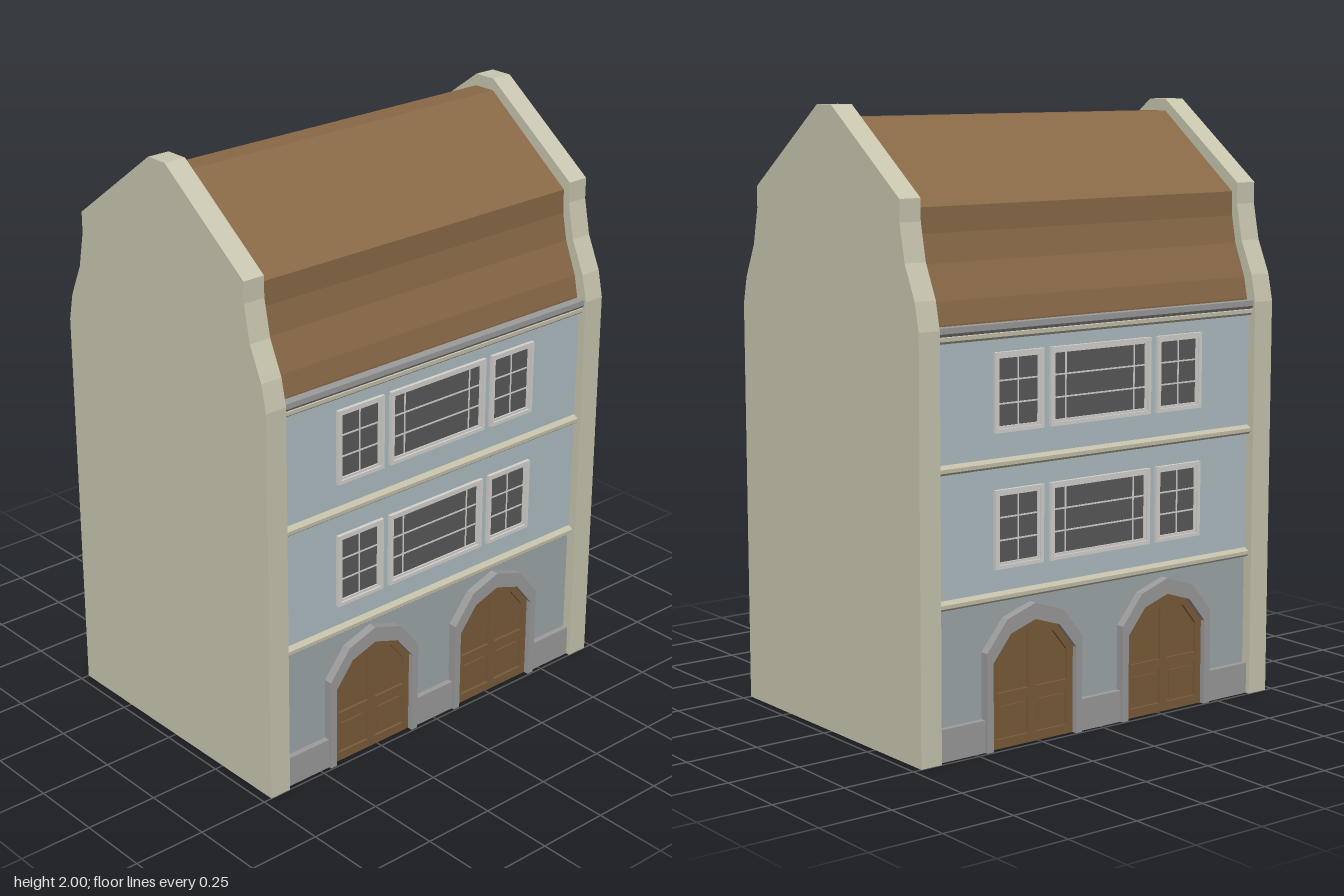
import * as THREE from 'three';

const material = (color) => new THREE.MeshStandardMaterial({ color, flatShading: true });
const MAT = {
  gable: material(0xc9c7b0), upperWall: material(0xb0bfc4), lowerWall: material(0x9ea8ab),
  roof: material(0x896947), door: material(0x7a5c3a), stone: material(0x9c9c9c),
  belt: material(0xc4c0aa), frame: material(0xd6d4d0), glass: material(0x5a5a5a), floor: material(0x777777),
};

const WALL_Z = 0.465, INNER_X = 0.645;

function add(parent, name, geometry, mat) {
  const mesh = new THREE.Mesh(geometry, mat);
  mesh.name = name;
  parent.add(mesh);
  return mesh;
}

function box(parent, name, mat, w, h, d, x, y, z) {
  add(parent, name, new THREE.BoxGeometry(w, h, d), mat).position.set(x, y, z);
}

const toShape = (points) => new THREE.Shape(points.map(([x, y]) => new THREE.Vector2(x, y)));

// Extrudes a side profile of [z, y] points along x, centred on cx
function alongX(points, length, cx = 0) {
  const g = new THREE.ExtrudeGeometry(toShape(points), { depth: length, bevelEnabled: false });
  return g.translate(0, 0, -length / 2).rotateY(-Math.PI / 2).translate(cx, 0, 0);
}

// Extrudes an outline of [x, y] points towards +z, with optional holes
function alongZ(points, depth, holes = []) {
  const shape = toShape(points);
  for (const h of holes) shape.holes.push(toShape(h));
  return new THREE.ExtrudeGeometry(shape, { depth, bevelEnabled: false });
}

// Mirrors half of an outline over the first coordinate
const mirrored = (half) => [...half, ...half.map(([a, b]) => [-a, b]).reverse()];

// Mirrors an open half arch whose last point is the apex
const arch = (half) => [...half, ...half.slice(0, -1).map(([a, b]) => [-a, b]).reverse()];

function createDoor(cx) {
  const door = new THREE.Group();
  door.name = 'archedDoor';
  const inner = arch([[0.165, 0], [0.165, 0.286], [0.097, 0.37], [0, 0.402]]);
  const outer = arch([[0.19, 0], [0.19, 0.32], [0.11, 0.418], [0, 0.455]]);
  // jambs and arch as one ring open at the ground
  const ring = [...outer, ...inner.slice().reverse()];
  add(door, 'doorSurround', alongZ(ring, 0.035), MAT.stone).position.z = WALL_Z - 0.005;
  add(door, 'doorLeaf', alongZ(inner, 0.01), MAT.door).position.z = WALL_Z - 0.007;
  // raised rails around two panels on each leaf
  const lower = [[0.015, 0.03], [0.14, 0.03], [0.14, 0.15], [0.015, 0.15]];
  const upper = [[0.015, 0.18], [0.14, 0.18], [0.14, 0.28], [0.085, 0.348], [0.015, 0.37]];
  const flip = (pts) => pts.map(([x, y]) => [-x, y]);
  add(door, 'doorRails', alongZ(inner, 0.01, [lower, upper, flip(lower), flip(upper)]), MAT.door)
    .position.z = WALL_Z + 0.002;
  for (const s of [-1, 1]) {
    box(door, 'doorPanel', MAT.door, 0.095, 0.09, 0.008, s * 0.0775, 0.09, WALL_Z + 0.004);
  }
  door.position.x = cx;
  return door;
}

function createWindow(cx, cy, w, columns) {
  const win = new THREE.Group();
  win.name = 'window';
  const h = 0.25, b = 0.012;
  const rect = (a, c) => [[-a, -c], [a, -c], [a, c], [-a, c]];
  const ring = (inset, width) => alongZ(rect(w / 2 - inset, h / 2 - inset), 0.012,
    [rect(w / 2 - inset - width, h / 2 - inset - width)]);
  add(win, 'windowFrame', ring(0, b), MAT.frame).position.z = 0.002;
  add(win, 'windowSash', ring(b, 0.008), MAT.frame).position.z = -0.004;
  box(win, 'glass', MAT.glass, w - 0.03, h - 0.03, 0.004, 0, 0, 0.001);
  for (const x of columns) box(win, 'glazingBar', MAT.frame, 0.005, h - 0.035, 0.004, x, 0, 0.003);
  for (const s of [-1, 1]) {
    box(win, 'glazingBar', MAT.frame, w - 0.035, 0.005, 0.004, 0, s * 0.036, 0.003);
  }
  win.position.set(cx, cy, 0.47);
  return win;
}

function createFacade() {
  const facade = new THREE.Group();
  facade.name = 'facade';
  const length = INNER_X * 2;

  // doors and the plinth pieces between them
  for (const s of [-1, 1]) {
    facade.add(createDoor(s * 0.275));
    box(facade, 'plinth', MAT.stone, 0.18, 0.105, 0.025, s * 0.555, 0.0525, WALL_Z + 0.0075);
  }
  box(facade, 'plinth', MAT.stone, 0.17, 0.105, 0.025, 0, 0.0525, WALL_Z + 0.0075);

  // two floors of windows
  for (const y of [0.702, 1.13]) {
    facade.add(createWindow(0, y, 0.41, [-0.14, 0.14]));
    for (const s of [-1, 1]) facade.add(createWindow(s * 0.328, y, 0.19, [0]));
  }

  // belt courses with sloped tops
  for (const y of [0.475, 0.895, 1.295]) {
    const profile = [[0.45, y], [0.478, y], [0.488, y + 0.008], [0.488, y + 0.02], [0.47, y + 0.03], [0.45, y + 0.03]];
    add(facade, 'beltCourse', alongX(profile, length), MAT.belt);
  }

  // cornice under the eaves
  const cornice = [[0.44, 1.315], [0.483, 1.315], [0.493, 1.327], [0.493, 1.345], [0.44, 1.345]];
  add(facade, 'cornice', alongX(cornice, length), MAT.stone);
  return facade;
}

export function createModel() {
  const house = new THREE.Group();
  house.name = 'townHouse';
  const length = INNER_X * 2;

  // wall core and floor
  box(house, 'lowerWall', MAT.lowerWall, length, 0.475, WALL_Z * 2, 0, 0.2425, 0);
  box(house, 'upperWall', MAT.upperWall, length, 0.86, 0.94, 0, 0.91, 0);
  box(house, 'floor', MAT.floor, length, 0.004, WALL_Z * 2, 0, 0.003, 0);

  // roof with flared eaves and a flat ridge
  const roof = mirrored([[0.46, 1.335], [0.46, 1.35], [0.445, 1.42], [0.4, 1.53], [0.382, 1.62], [0.38, 1.7], [0.04, 1.96]]);
  add(house, 'roof', alongX(roof, length), MAT.roof);

  // gable walls rising above the roof at both ends
  const gable = mirrored([[0.5, 0], [0.5, 1.34], [0.48, 1.43], [0.43, 1.54], [0.405, 1.66], [0.405, 1.73], [0.04, 2]]);
  for (const s of [-1, 1]) {
    add(house, s > 0 ? 'leftGable' : 'rightGable', alongX(gable, 0.077, s * 0.6815), MAT.gable);
  }

  // matching front and back
  const front = createFacade();
  const back = createFacade();
  front.name = 'frontFacade';
  back.name = 'backFacade';
  back.rotation.y = Math.PI;
  house.add(front, back);
  return house;
}
